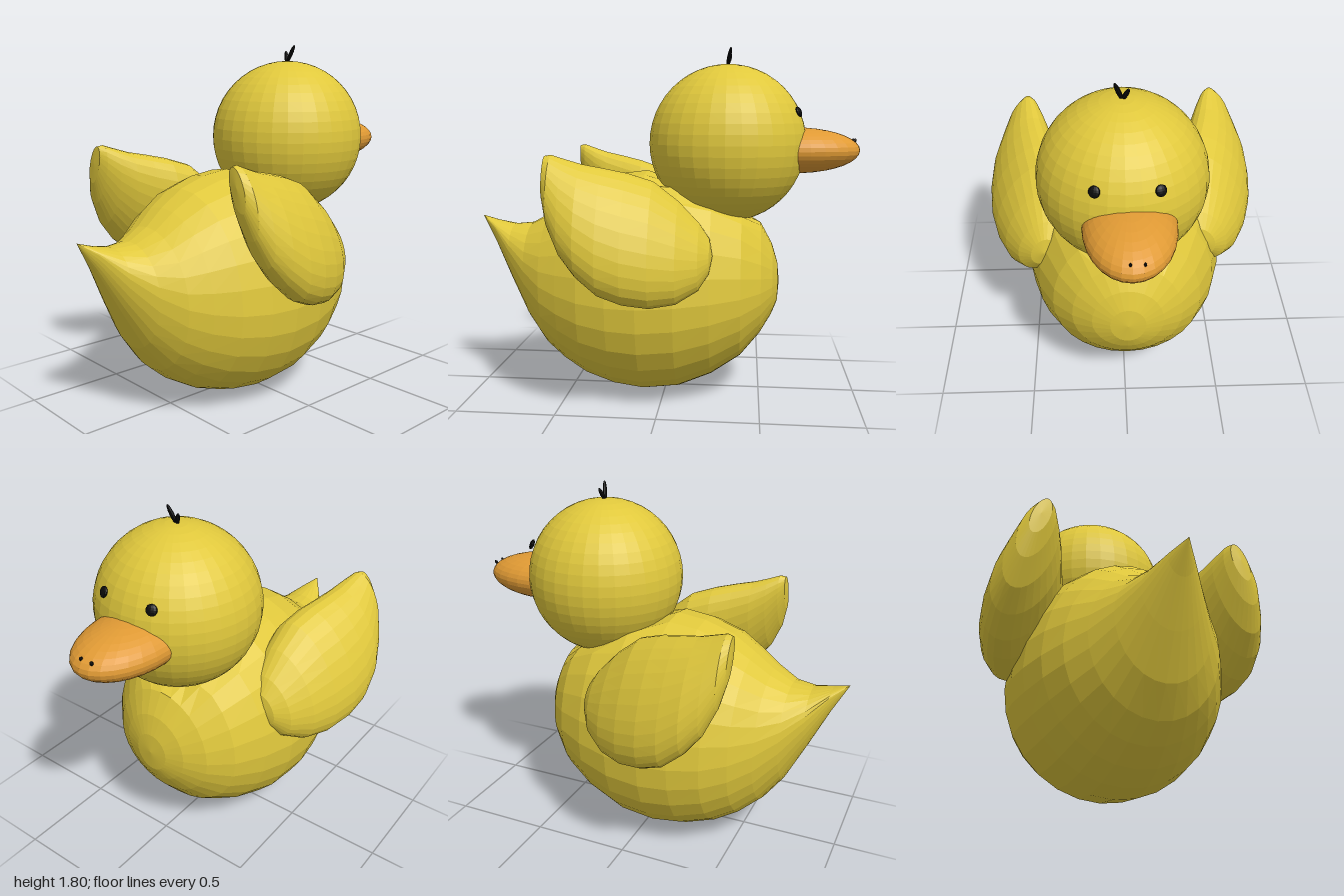
import * as THREE from 'three';

const paint = (color) => new THREE.MeshStandardMaterial({ color, flatShading: true });
const yellow = paint(0xe0c83c);
const orange = paint(0xe09a34);
const black = paint(0x0a0a0a);

// Skin over sections stacked along z: [z, bottom, top, xCentre, halfWidth, yWidest]
// side mirrors in x, shear leans each section sideways, ceiling(z) cuts the top flat
function loft(sections, { side = 1, shear = 0, ceiling = () => Infinity, sides = 28 } = {}) {
  const pos = [], index = [];
  sections.forEach(([z, bottom, top, cx, w, yWide]) => {
    for (let j = 0; j < sides; j++) {
      const a = (j / sides) * Math.PI * 2, s = Math.sin(a);
      const dy = s * (s > 0 ? top - yWide : yWide - bottom);
      pos.push(side * (cx + w * Math.cos(a) + shear * dy), Math.min(yWide + dy, ceiling(z)), z);
    }
  });
  for (let i = 0; i < sections.length - 1; i++) {
    for (let j = 0; j < sides; j++) {
      const k = (j + 1) % sides;
      const a = i * sides + j, b = i * sides + k, c = a + sides, d = b + sides;
      if (side > 0) index.push(a, b, c, b, d, c);
      else index.push(a, c, b, b, c, d);
    }
  }
  const geo = new THREE.BufferGeometry();
  geo.setAttribute('position', new THREE.Float32BufferAttribute(pos, 3));
  geo.setIndex(index);
  geo.computeVertexNormals();
  return geo;
}

export function createModel() {
  const group = new THREE.Group();

  const add = (name, geometry, material) => {
    const mesh = new THREE.Mesh(geometry, material);
    mesh.name = name;
    group.add(mesh);
    return mesh;
  };
  const ellipsoid = (name, material, [x, y, z], [rx, ry, rz], w = 12, h = 8) => {
    const mesh = add(name, new THREE.SphereGeometry(1, w, h), material);
    mesh.position.set(x, y, z);
    mesh.scale.set(rx, ry, rz);
    return mesh;
  };

  // Egg-shaped body, cut flat under the neck and drawn out to a pointed tail
  const body = [
    [-0.60, 0.60, 0.60, -0.01, 0, 0.60],
    [-0.59, 0.49, 0.70, -0.01, 0.09, 0.60],
    [-0.56, 0.42, 0.80, -0.01, 0.18, 0.60],
    [-0.50, 0.32, 0.91, -0.01, 0.28, 0.59],
    [-0.40, 0.20, 1.03, -0.01, 0.38, 0.58],
    [-0.25, 0.10, 1.12, -0.01, 0.46, 0.57],
    [-0.08, 0.03, 1.17, -0.01, 0.51, 0.56],
    [0.10, 0.01, 1.18, -0.01, 0.52, 0.55],
    [0.25, 0.03, 1.16, -0.01, 0.50, 0.55],
    [0.40, 0.08, 1.11, -0.01, 0.455, 0.56],
    [0.52, 0.15, 1.03, -0.01, 0.39, 0.58],
    [0.62, 0.235, 0.95, 0, 0.32, 0.61],
    [0.72, 0.37, 0.895, 0, 0.235, 0.67],
    [0.82, 0.57, 0.885, 0, 0.15, 0.76],
    [0.92, 0.78, 0.905, 0, 0.065, 0.87],
    [1.00, 0.93, 0.93, 0, 0, 0.93],
  ];
  add('body', loft(body, { ceiling: (z) => 1.147 + 0.47 * z }), yellow);

  // Plump wings, swept up and back to a blunt tip; the right one sits a little further back
  const wing = [
    [-0.265, 0.80, 0.80, 0.41, 0, 0.80],
    [-0.25, 0.72, 0.88, 0.415, 0.06, 0.80],
    [-0.20, 0.645, 0.955, 0.43, 0.11, 0.80],
    [-0.10, 0.59, 1.06, 0.455, 0.155, 0.82],
    [0.02, 0.578, 1.155, 0.485, 0.18, 0.85],
    [0.14, 0.60, 1.195, 0.515, 0.185, 0.88],
    [0.25, 0.645, 1.22, 0.54, 0.17, 0.92],
    [0.35, 0.73, 1.24, 0.55, 0.15, 0.98],
    [0.43, 0.83, 1.265, 0.55, 0.115, 1.05],
    [0.49, 0.96, 1.285, 0.545, 0.08, 1.13],
    [0.52, 1.08, 1.28, 0.535, 0.045, 1.18],
    [0.525, 1.19, 1.19, 0.535, 0, 1.19],
  ];
  add('leftWing', loft(wing, { shear: -0.3 }), yellow);
  add('rightWing', loft(wing, { side: -1, shear: -0.3 }), yellow).position.set(0, 0.01, 0.045);

  // Head and beak
  const headCentre = new THREE.Vector3(0.01, 1.323, -0.32);
  ellipsoid('head', yellow, headCentre.toArray(), [0.404, 0.404, 0.404], 32, 24);
  ellipsoid('beak', orange, [-0.01, 1.288, -0.66], [0.21, 0.118, 0.34], 28, 18);

  // Eyes lie flat on the head
  for (const x of [-0.14, 0.14]) {
    const eye = ellipsoid(x > 0 ? 'leftEye' : 'rightEye', black, [x, 1.485, -0.675], [0.027, 0.027, 0.012]);
    eye.lookAt(headCentre);
  }

  // Nostril slits near the beak tip
  for (const x of [-0.06, 0.0]) {
    const nostril = ellipsoid('nostril', black, [x, 1.337, -0.968], [0.006, 0.014, 0.009], 8, 6);
    nostril.rotation.x = -0.7;
  }

  // Two-feather tuft on the crown
  for (const [x, y] of [[0.046, 1.81], [-0.018, 1.78]]) {
    const base = new THREE.Vector3(0.01, 1.715, -0.315);
    const tip = new THREE.Vector3(x, y, -0.336);
    const feather = ellipsoid('tuftFeather', black, base.clone().lerp(tip, 0.5).toArray(),
      [0.012, base.distanceTo(tip) / 2, 0.01], 8, 8);
    feather.quaternion.setFromUnitVectors(new THREE.Vector3(0, 1, 0), tip.sub(base).normalize());
  }

  return group;
}
